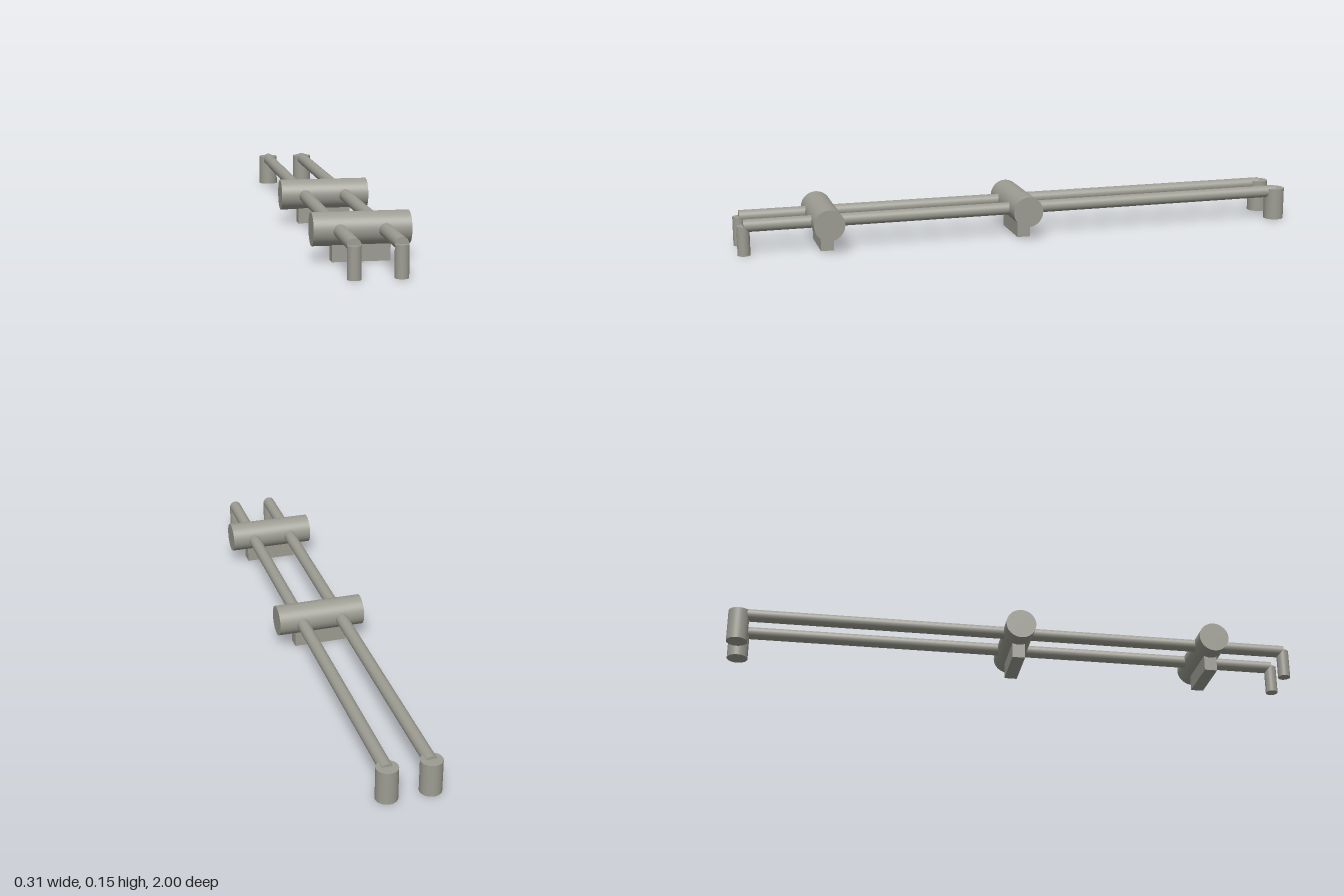
import * as THREE from 'three';

export function createModel() {
  const model = new THREE.Group();
  model.name = 'doubleRailHandle';

  const metal = new THREE.MeshStandardMaterial({ color: 0x9c9c92 });
  metal.name = 'warm grey metal';

  const railX = 0.071, railY = 0.101, railR = 0.0215;
  const frontZ = 0.978, backZ = -0.964;

  function add(name, geometry, x, y, z) {
    const mesh = new THREE.Mesh(geometry, metal);
    mesh.name = name;
    mesh.position.set(x, y, z);
    model.add(mesh);
    return mesh;
  }
  const rod = (r, length) => new THREE.CylinderGeometry(r, r, length, 48);

  // Long rails, each with a slim front leg and a thick rear post
  for (const [side, s] of [['left', 1], ['right', -1]]) {
    const x = s * railX;
    const rail = add(side + 'Rail', rod(railR, frontZ - backZ), x, railY, (frontZ + backZ) / 2);
    rail.rotation.x = Math.PI / 2;
    add(side + 'FrontLeg', rod(railR, railY), x, railY / 2, frontZ);
    add(side + 'RearPost', rod(0.036, 0.113), x, 0.0565, backZ);
  }

  // Cross rollers, each resting on a block
  for (const [place, z] of [['front', 0.7], ['middle', 0.007]]) {
    const roller = add(place + 'Roller', rod(0.0527, 0.308), 0, 0.1015, z);
    roller.rotation.z = Math.PI / 2;
    add(place + 'Block', new THREE.BoxGeometry(0.185, 0.08, 0.045), 0, 0.04, z);
  }

  return model;
}
